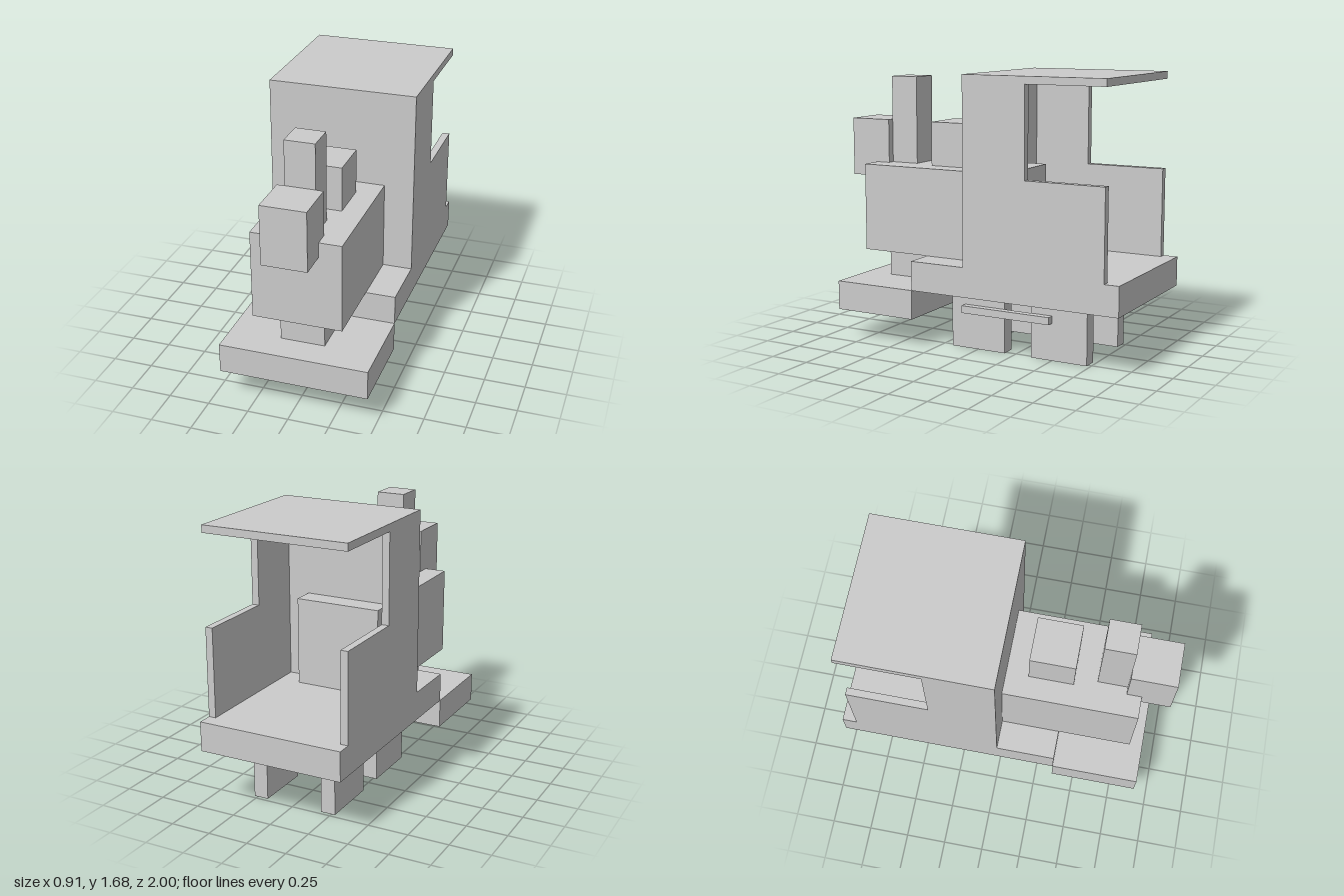
import * as THREE from 'three';

const UNIT = 1 / 11; // one grid block
const material = new THREE.MeshStandardMaterial({ color: 0xcccccc, flatShading: true });

// Box given by its extents in blocks
function block(name, [x0, x1], [y0, y1], [z0, z1]) {
  const geometry = new THREE.BoxGeometry(x1 - x0, y1 - y0, z1 - z0);
  geometry.translate((x0 + x1) / 2, (y0 + y1) / 2, (z0 + z1) / 2);
  const mesh = new THREE.Mesh(geometry, material);
  mesh.name = name;
  return mesh;
}

// Cab side: L-shaped panel, tall at the front and low at the back
function cabSide(name, x0, thickness) {
  const shape = new THREE.Shape();
  // shape x runs towards the rear
  [[0.5, 6], [10, 6], [10, 12], [4.5, 12], [4.5, 18], [0.5, 18]].forEach(([x, y], i) =>
    i ? shape.lineTo(x, y) : shape.moveTo(x, y));
  const geometry = new THREE.ExtrudeGeometry(shape, { depth: thickness, bevelEnabled: false });
  geometry.rotateY(Math.PI / 2); // shape x -> -z, depth -> +x
  geometry.translate(x0, 0, 0);
  const mesh = new THREE.Mesh(geometry, material);
  mesh.name = name;
  return mesh;
}

export function createModel() {
  const model = new THREE.Group();
  model.name = 'locomotive';

  // Chassis
  model.add(
    block('floor', [-5, 5], [4, 6], [-11, 4]),
    block('bumper', [-5, 5], [2, 4], [4, 10]),
    block('boilerSaddle', [-1.5, 1.5], [4, 6], [4, 8]),
  );

  // Boiler and fittings; the boiler reaches into the cab
  model.add(
    block('boiler', [-3, 3], [6, 12], [-2, 9]),
    block('dome', [-1.5, 1.5], [12, 15], [1.5, 4.5]),
    block('chimney', [-1, 1], [12, 18], [6, 8]),
    block('headlamp', [-1.5, 1.5], [11, 15], [8, 11]),
  );

  // Cab
  const cab = new THREE.Group();
  cab.name = 'cab';
  cab.add(
    block('cabFront', [-5, 5], [6, 18], [-0.5, 0]),
    cabSide('cabSideLeft', 4.5, 0.5),
    cabSide('cabSideRight', -5, 0.5),
    block('roof', [-5, 5], [18, 18.5], [-10, 0]),
  );
  model.add(cab);

  // Wheels and coupling rods on both sides
  for (const [side, s] of [['Left', 1], ['Right', -1]]) {
    const span = (a, b) => (s > 0 ? [a, b] : [-b, -a]);
    model.add(
      block('frontWheel' + side, span(2, 3), [0, 4], [-2, 2]),
      block('rearWheel' + side, span(2, 3), [0, 4], [-8, -4]),
      block('couplingRod' + side, span(3, 3.5), [2.5, 3], [-5.5, 1]),
    );
  }

  model.scale.setScalar(UNIT);
  return model;
}
